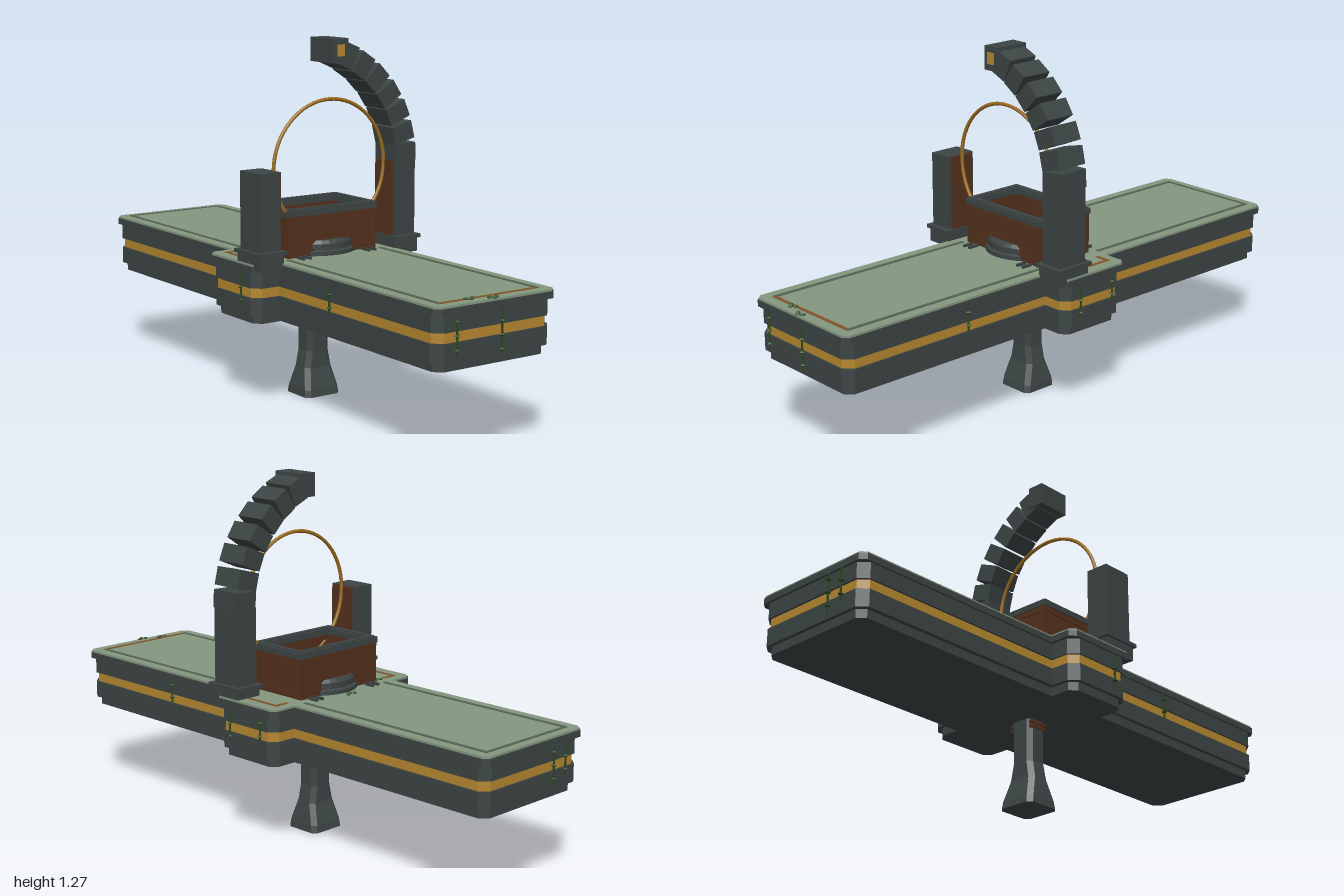
import * as THREE from 'three';

const mat = (name, color) => {
  const m = new THREE.MeshStandardMaterial({ color });
  m.name = name;
  return m;
};

export function createModel() {
  const stone = mat('dark stone', 0x3c4444);
  const deckGreen = mat('pale green deck', 0x84967f);
  const groove = mat('groove green', 0x566353);
  const gold = mat('gold', 0xb5862f);
  const bronze = mat('bronze', 0x9c6d22);
  const rust = mat('rust', 0x85552a);
  const wood = mat('brown panel', 0x53301c);
  const leaf = mat('vine green', 0x2c4a20);

  const root = new THREE.Group();
  const add = (name, geo, material, x = 0, y = 0, z = 0, parent = root) => {
    const m = new THREE.Mesh(geo, material);
    m.name = name;
    m.position.set(x, y, z);
    parent.add(m);
    return m;
  };
  // box given by its two extreme corners
  const box = (name, material, x0, x1, y0, y1, z0, z1, parent = root) =>
    add(name, new THREE.BoxGeometry(x1 - x0, y1 - y0, z1 - z0), material,
      (x0 + x1) / 2, (y0 + y1) / 2, (z0 + z1) / 2, parent);

  // cross-shaped slab with cut outer corners
  const slab = (name, material, y0, y1, hx, hz, wx, wz, c) => {
    const quarter = [[wx, 0], [wx, wz - c], [wx - c, wz], [hx, wz], [hx, hz - c], [hx - c, hz]];
    const pts = [];
    const flip = (list, sx, sy) => list.map(([x, y]) => new THREE.Vector2(x * sx, y * sy));
    const back = [...quarter].reverse();
    pts.push(...flip(quarter, 1, 1), ...flip(back.slice(0, -1), -1, 1),
      ...flip(quarter, -1, -1), ...flip(back.slice(0, -1), 1, -1));
    const g = new THREE.ExtrudeGeometry(new THREE.Shape(pts), { depth: y1 - y0, bevelEnabled: false });
    g.rotateX(-Math.PI / 2);
    add(name, g, material, 0, y0, 0);
  };

  // platform layers
  slab('platformBase', stone, 0.312, 0.342, 0.222, 0.965, 0.32, 0.125, 0.025);
  slab('lowerCourse', stone, 0.342, 0.403, 0.238, 0.978, 0.335, 0.138, 0.03);
  slab('goldBand', gold, 0.403, 0.437, 0.231, 0.971, 0.329, 0.132, 0.028);
  slab('upperCourse', stone, 0.437, 0.492, 0.238, 0.978, 0.335, 0.138, 0.03);
  slab('deckEdge', stone, 0.492, 0.514, 0.245, 0.987, 0.342, 0.15, 0.02);
  slab('deck', deckGreen, 0.514, 0.521, 0.241, 0.983, 0.338, 0.146, 0.018);

  // inlaid lines on the deck
  const dy = [0.52, 0.523];
  for (const s of [-1, 1]) {
    box('deckInlayBack', groove, s * 0.197 - 0.007, s * 0.197 + 0.007, ...dy, -0.95, -0.15);
    box('deckInlayFront', groove, s * 0.197 - 0.007, s * 0.197 + 0.007, ...dy, 0.13, 0.945);
    box('wingInlayAcross', rust, s * 0.267 - 0.028, s * 0.267 + 0.028, ...dy, -0.113, -0.1);
    box('wingInlayAlong', rust, s * 0.29 - 0.006, s * 0.29 + 0.006, ...dy, -0.113, 0.03);
  }
  box('deckInlayBackEnd', groove, -0.2, 0.2, ...dy, -0.952, -0.94);
  box('deckInlayFrontEnd', rust, -0.2, 0.2, ...dy, 0.933, 0.946);

  // flared octagonal support column, lofted through cross-sections
  const rings = [[0, 0.072, 0.07], [0.025, 0.07, 0.066], [0.1, 0.056, 0.043], [0.16, 0.045, 0.041], [0.315, 0.045, 0.041]];
  const oct = (y, a, b) => {
    const c = 0.016;
    return [[a, b - c], [a, c - b], [a - c, -b], [c - a, -b], [-a, c - b], [-a, b - c], [c - a, b], [a - c, b]]
      .map(([x, z]) => [x, y, z]);
  };
  const pos = [];
  for (let i = 0; i < rings.length - 1; i++) {
    const lo = oct(...rings[i]), hi = oct(...rings[i + 1]);
    for (let k = 0; k < 8; k++) {
      const n = (k + 1) % 8;
      pos.push(...lo[k], ...lo[n], ...hi[n], ...lo[k], ...hi[n], ...hi[k]);
    }
  }
  const foot = oct(...rings[0]);
  for (let k = 1; k < 7; k++) pos.push(...foot[0], ...foot[k + 1], ...foot[k]);
  const colGeo = new THREE.BufferGeometry();
  colGeo.setAttribute('position', new THREE.Float32BufferAttribute(pos, 3));
  colGeo.computeVertexNormals();
  add('supportColumn', colGeo, stone);
  for (const s of [-1, 1])
    for (const y of [0.286, 0.302])
      box('columnBracket', wood, s * 0.04 - 0.009, s * 0.04 + 0.009, y - 0.006, y + 0.006, -0.035, 0.035);

  // pillars with flanged feet and inner panels
  for (const s of [-1, 1]) {
    const p = new THREE.Group();
    p.name = s < 0 ? 'rightPillar' : 'leftPillar';
    p.position.set(s * 0.286, 0, 0.099);
    root.add(p);
    box('pillarFoot', stone, -0.05, 0.05, 0.5, 0.553, -0.066, 0.066, p);
    box('pillarFlange', stone, -0.058, 0.058, 0.55, 0.563, -0.076, 0.076, p);
    box('pillarShaft', stone, -0.043, 0.043, 0.56, 0.83, -0.058, 0.058, p);
    const x = -s * 0.046;
    box('pillarPanel', wood, x - 0.007, x + 0.007, 0.563, 0.828, -0.046, 0.046, p);
  }

  // segmented arch curling over from the left pillar
  const arch = [[0.287, 0.857, 2], [0.276, 0.926, 14], [0.252, 0.998, 23], [0.213, 1.064, 34],
    [0.162, 1.122, 45], [0.103, 1.169, 57], [0.04, 1.205, 67]];
  arch.forEach(([x, y, deg], i) => {
    const g = new THREE.BoxGeometry(0.088 - i * 0.001, 0.063, 0.116);
    add('archSegment', g, stone, x, y, 0.099).rotation.z = THREE.MathUtils.degToRad(deg);
  });
  box('archHead', stone, -0.034, 0.031, 1.183, 1.266, 0.035, 0.165);
  box('archLamp', gold, -0.016, 0.013, 1.206, 1.246, 0.163, 0.169);

  // great hoop
  add('hoop', new THREE.TorusGeometry(0.233, 0.0065, 8, 64), bronze, 0, 0.823, 0.1);

  // round plinth and centre block
  const plinth = [[0.108, 0.52], [0.15, 0.52], [0.15, 0.535], [0.14, 0.54], [0.14, 0.56], [0.132, 0.572], [0.108, 0.572], [0.108, 0.52]];
  const pg = new THREE.LatheGeometry(plinth.map(([x, y]) => new THREE.Vector2(x, y)), 32).toNonIndexed();
  pg.computeVertexNormals();
  const plinthMesh = add('roundPlinth', pg, stone);
  plinthMesh.material.side = THREE.DoubleSide;
  box('centreBlock', stone, -0.057, 0.055, 0.52, 0.535, -0.05, 0.045);

  // open box with panelled walls, posts and rim
  for (const s of [-1, 1]) {
    const z = s * 0.105, x = s * 0.172;
    box('boxLongWall', wood, -0.172, 0.172, 0.522, 0.67, z - 0.008, z + 0.008);
    box('boxShortWall', wood, x - 0.008, x + 0.008, 0.522, 0.67, -0.105, 0.105);
    for (const [a, b] of [[0.522, 0.545], [0.645, 0.668]]) {
      box('boxLongTrim', wood, -0.175, 0.175, a, b, z - 0.012, z + 0.012);
      box('boxShortTrim', wood, x - 0.012, x + 0.012, a, b, -0.11, 0.11);
    }
    box('rimLong', stone, -0.19, 0.19, 0.664, 0.685, z - 0.016, z + 0.016);
    box('rimShort', stone, x - 0.017, x + 0.017, 0.664, 0.685, -0.12, 0.12);
    box('rimLongCap', stone, -0.18, 0.18, 0.684, 0.69, z - 0.009, z + 0.009);
    box('rimShortCap', stone, x - 0.009, x + 0.009, 0.684, 0.69, -0.112, 0.112);
    for (const t of [-1, 1]) {
      box('boxPost', wood, x - 0.014, x + 0.014, 0.522, 0.666, t * 0.105 - 0.014, t * 0.105 + 0.014);
      for (const px of [0.125, 0.152])
        box('deckPeg', stone, s * px - 0.004, s * px + 0.004, 0.52, 0.53, t * 0.145 - 0.02, t * 0.145 + 0.02);
    }
  }

  // hanging vines: a thin stem with pairs of leaves
  const leafGeo = new THREE.OctahedronGeometry(0.011).scale(1, 0.55, 1);
  const vine = (x, z, y0, y1) => {
    const g = new THREE.Group();
    g.name = 'vine';
    g.position.set(x, 0, z);
    root.add(g);
    box('vineStem', leaf, -0.0025, 0.0025, y0, y1, -0.0025, 0.0025, g);
    for (let y = y0 + 0.02; y < y1; y += 0.045) add('vineLeaf', leafGeo, leaf, 0, y, 0, g);
  };
  const vines = [[-0.165, 0.987, 0.36, 0.49], [0.015, 0.987, 0.34, 0.49], [-0.15, -0.987, 0.38, 0.49],
    [-0.09, -0.987, 0.36, 0.49], [-0.246, 0.44, 0.4, 0.48], [0.246, 0.49, 0.41, 0.49],
    [0.341, 0.07, 0.37, 0.48], [0.341, -0.08, 0.4, 0.48], [-0.341, 0.06, 0.37, 0.48]];
  vines.forEach((v) => vine(...v));

  // leaf clumps on the deck
  for (const [x, z] of [[-0.085, 0.945], [-0.2, -0.115], [0, -0.18], [0.05, -0.06], [-0.01, 0.97]])
    for (let k = 0; k < 3; k++)
      add('deckLeaf', leafGeo, leaf, x + (k - 1) * 0.014, 0.524, z + (k % 2) * 0.01);

  return root;
}
